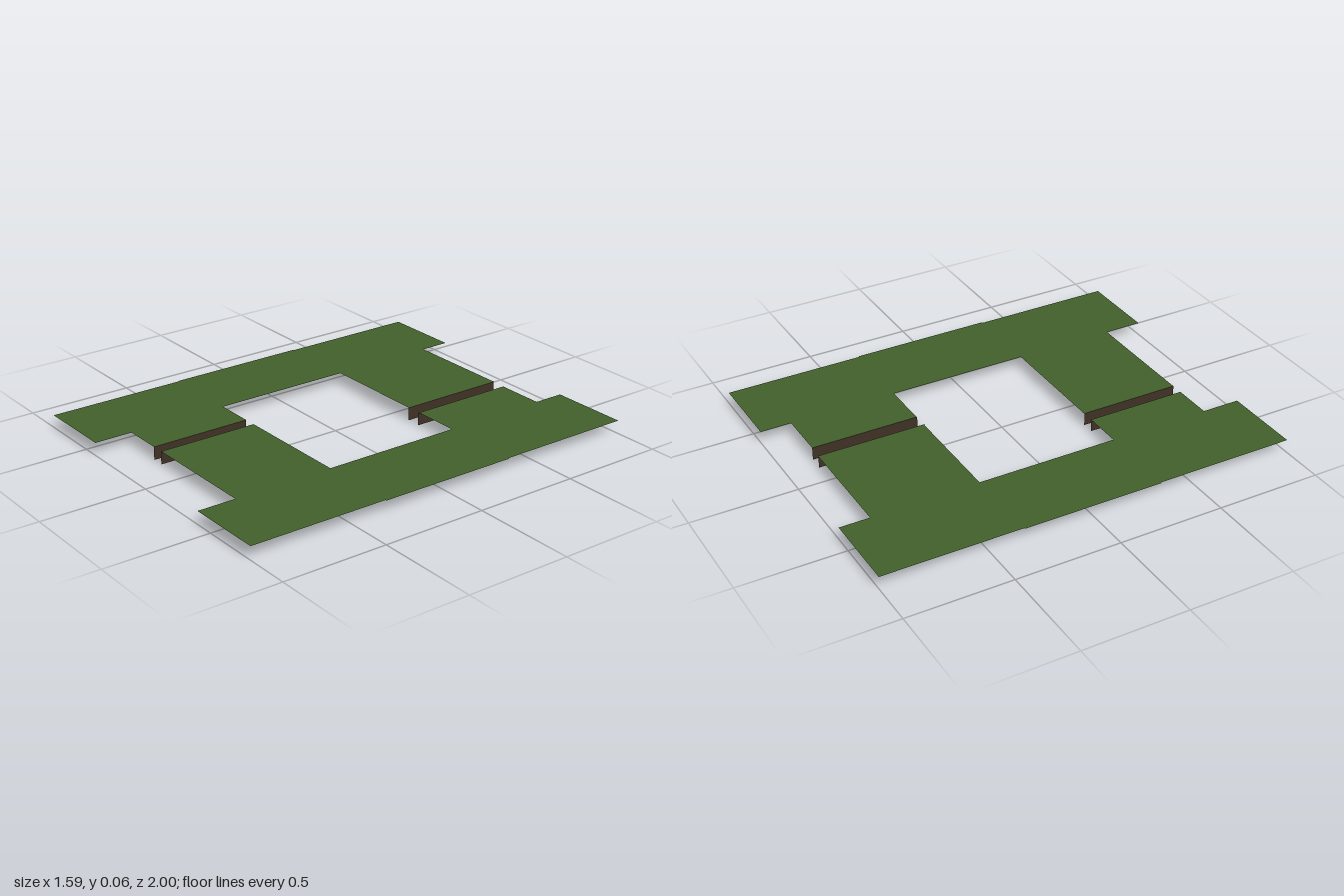
import * as THREE from 'three';

const TOP = 0.062; // height of the grass sheet

export function createModel() {
  const grass = new THREE.MeshStandardMaterial({ color: 0x42602c, side: THREE.DoubleSide });
  grass.name = 'grass green';
  const earth = new THREE.MeshStandardMaterial({ color: 0x3e3025, side: THREE.DoubleSide });
  earth.name = 'earth brown';

  const model = new THREE.Group();
  model.name = 'splitGround';

  // Flat sheet from an outline of [x, z] points, facing up
  function sheet(name, outline) {
    const shape = new THREE.Shape(outline.map(([x, z]) => new THREE.Vector2(x, -z)));
    const mesh = new THREE.Mesh(new THREE.ShapeGeometry(shape).rotateX(-Math.PI / 2), grass);
    mesh.position.y = TOP;
    mesh.name = name;
    model.add(mesh);
  }

  // Upright bank along z, facing the gap (side is +1 or -1 in x)
  function bank(name, x, z0, z1, side) {
    const geometry = new THREE.PlaneGeometry(z1 - z0, TOP).rotateY(side * Math.PI / 2);
    const mesh = new THREE.Mesh(geometry, earth);
    mesh.position.set(x, TOP / 2, (z0 + z1) / 2);
    mesh.name = name;
    model.add(mesh);
  }

  // Right half: long strip, wide back arm, short front arm
  sheet('rightGround', [
    [-0.791, -1], [-0.415, -1], [-0.415, -0.857], [0.108, -0.857], [0.108, -0.34],
    [-0.413, -0.34], [-0.413, 0.333], [-0.225, 0.333], [-0.225, 0.817], [-0.415, 0.817],
    [-0.415, 1], [-0.791, 1], [-0.791, 0.333], [-0.796, 0.333], [-0.796, -0.337], [-0.791, -0.337],
  ]);

  // Left half: long strip, short back arm, wide front arm
  sheet('leftGround', [
    [0.785, -1], [0.408, -1], [0.408, -0.853], [0.178, -0.853], [0.178, -0.34],
    [0.408, -0.34], [0.408, 0.333], [-0.167, 0.333], [-0.167, 0.817], [0.408, 0.817],
    [0.408, 1], [0.785, 1], [0.785, 0.333], [0.791, 0.333], [0.791, -0.337], [0.785, -0.337],
  ]);

  // Earth banks on both sides of each gap
  bank('backRightBank', 0.108, -0.855, -0.337, 1);
  bank('backLeftBank', 0.178, -0.853, -0.337, -1);
  bank('frontRightBank', -0.225, 0.335, 0.818, 1);
  bank('frontLeftBank', -0.167, 0.335, 0.818, -1);

  return model;
}
